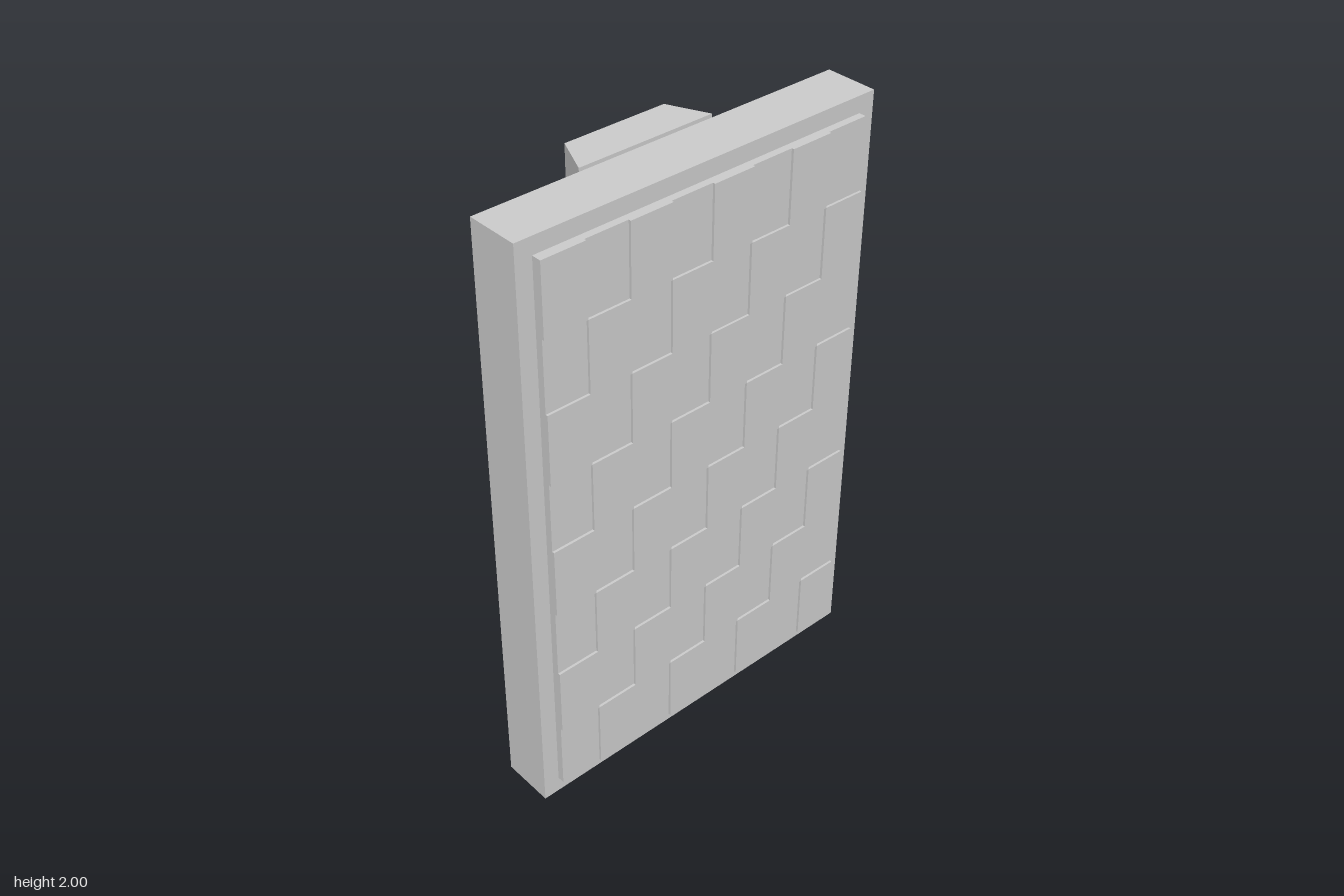
import * as THREE from 'three';

const material = new THREE.MeshStandardMaterial({ color: 0xcccccc, flatShading: true });

function add(parent, name, geometry) {
  const mesh = new THREE.Mesh(geometry, material);
  mesh.name = name;
  parent.add(mesh);
  return mesh;
}

// Box given by its limits on each axis
function box(x0, x1, y0, y1, z0, z1) {
  return new THREE.BoxGeometry(x1 - x0, y1 - y0, z1 - z0)
    .translate((x0 + x1) / 2, (y0 + y1) / 2, (z0 + z1) / 2);
}

function polygon(points, Type = THREE.Shape) {
  return new Type(points.map(([x, y]) => new THREE.Vector2(x, y)));
}

// Upright slab whose half width changes linearly from back to front; holes keep their size
function taperedSlab(backHalf, frontHalf, y0, y1, zBack, zFront, holes = []) {
  const shape = polygon([[-backHalf, y0], [backHalf, y0], [backHalf, y1], [-backHalf, y1]]);
  shape.holes.push(...holes);
  const geometry = new THREE.ExtrudeGeometry(shape, { depth: zFront - zBack, bevelEnabled: false });
  geometry.translate(0, 0, zBack);
  const p = geometry.attributes.position;
  const middle = (zBack + zFront) / 2;
  for (let i = 0; i < p.count; i++) {
    if (p.getZ(i) > middle && Math.abs(p.getX(i)) > backHalf - 0.001) {
      p.setX(i, Math.sign(p.getX(i)) * frontHalf);
    }
  }
  geometry.computeVertexNormals();
  return geometry;
}

export function createModel() {
  const model = new THREE.Group();
  model.name = 'wallPanel';

  const zBack = -0.231, zSlot = -0.176, zPlate = 0.024, zFace = 0.199, zRecess = 0.223, zFront = 0.231;

  // Main plate and the thin panel on its front
  add(model, 'plate', box(-0.64, 0.64, 0, 2, zPlate, zFace));
  const w = 0.585, bottom = 0.055, top = 1.945;
  add(model, 'frontPanel', box(-w, w, bottom, top, zFace, zRecess));

  // Raised checkerboard tiles
  const tiles = new THREE.Group();
  tiles.name = 'raisedTiles';
  model.add(tiles);
  const n = 8, tw = (2 * w) / n, th = (top - bottom) / n;
  for (let row = 0; row < n; row++) {
    for (let col = row % 2; col < n; col += 2) {
      const x = -w + col * tw, y = top - (row + 1) * th;
      add(tiles, 'tile', box(x, x + tw, y, y + th, zRecess, zFront));
    }
  }

  // Rear housing: a solid core and a back layer cut by three slots with pointed ends
  const backHalf = 0.282, frontHalf = 0.44;
  const slotHalf = backHalf + (frontHalf - backHalf) * (zSlot - zBack) / (zPlate - zBack);
  const slots = [0.6, 1, 1.4].map((y) => polygon([
    [-0.237, y], [-0.21, y - 0.023], [0.21, y - 0.023],
    [0.237, y], [0.21, y + 0.023], [-0.21, y + 0.023],
  ], THREE.Path));
  add(model, 'housingCore', taperedSlab(slotHalf, frontHalf, 0.2, 1.8, zSlot, zPlate));
  add(model, 'slottedBack', taperedSlab(backHalf, slotHalf, 0.2, 1.8, zBack, zSlot, slots));

  // Connector blocks standing out of both ends of the housing
  add(model, 'topConnector', taperedSlab(0.18, 0.24, 1.79, 1.968, -0.174, -0.04));
  add(model, 'bottomConnector', taperedSlab(0.18, 0.24, 0.035, 0.21, -0.174, -0.04));

  return model;
}
